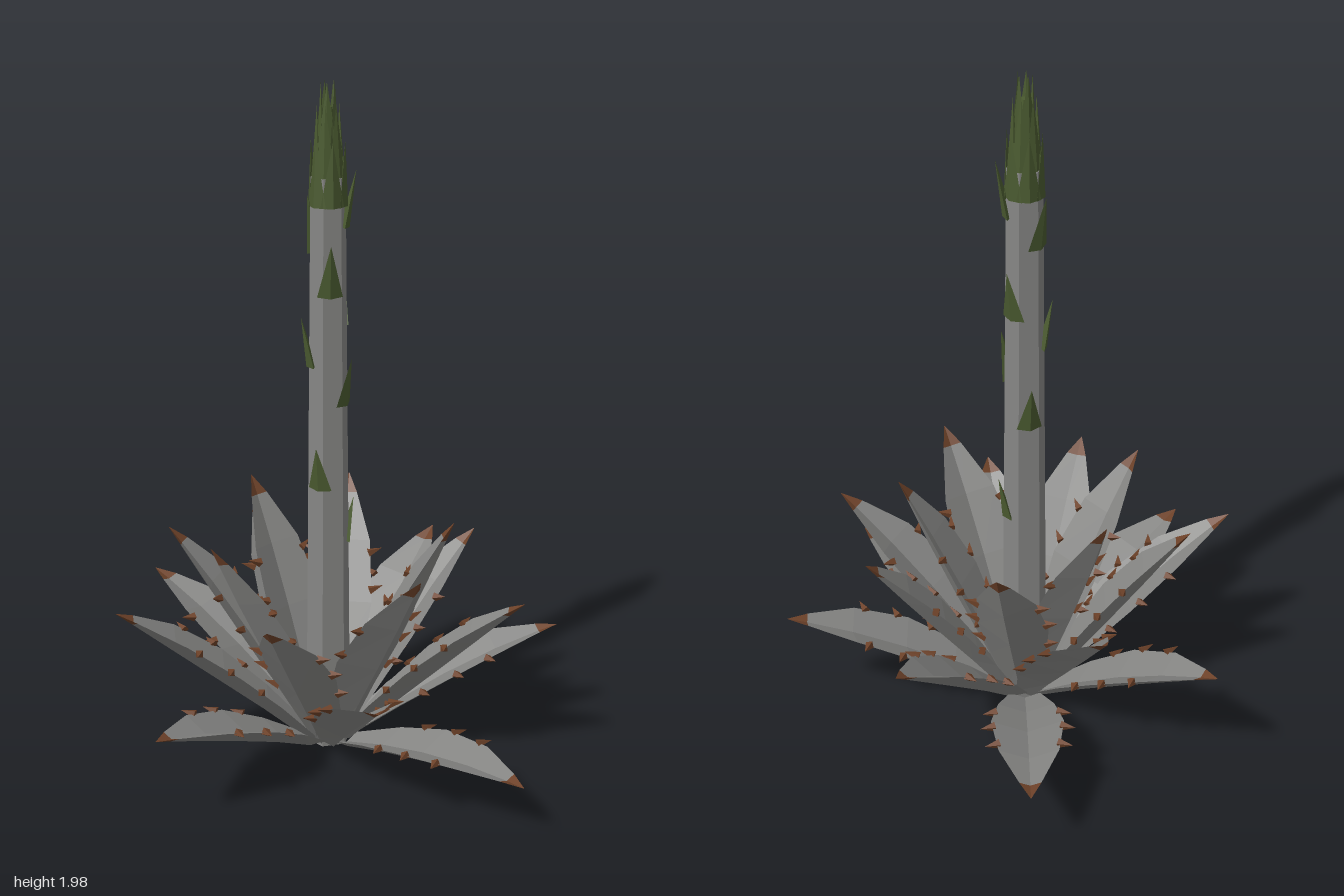
import * as THREE from 'three';
import { mergeGeometries } from 'three/addons/utils/BufferGeometryUtils.js';

const material = (name, color) => {
  const m = new THREE.MeshStandardMaterial({ color, flatShading: true });
  m.name = name;
  return m;
};

const CX = 0.048, CZ = -0.062;           // axis of the plant
const GOLDEN = THREE.MathUtils.degToRad(137.5);

// Tip of every leaf: x, y, z
const TIPS = [
  [0.005, 0.18, 0.73], [0.55, 0.24, -0.61], [-0.67, 0.30, -0.01],
  [0.61, 0.34, 0.35], [-0.04, 0.39, -0.74], [-0.31, 0.43, 0.48],
  [0.67, 0.48, -0.21], [-0.52, 0.52, -0.35], [0.28, 0.56, 0.49],
  [0.26, 0.59, -0.60], [-0.42, 0.60, 0.17], [0.51, 0.61, 0.10],
  [-0.21, 0.66, -0.47], [-0.05, 0.70, 0.39], [0.39, 0.71, -0.31],
  [-0.34, 0.73, -0.14], [0.28, 0.73, 0.22], [0.06, 0.77, -0.40],
];

// Leaf outline: position along the leaf, half width
const OUTLINE = [[0, 0.045], [0.22, 0.082], [0.45, 0.104], [0.7, 0.084], [0.91, 0.03], [1, 0.001]];

// Closed strip through four-cornered sections
function loft(sections, capped) {
  const v = [];
  const tri = (a, b, c) => v.push(...a.toArray(), ...b.toArray(), ...c.toArray());
  for (let r = 0; r < sections.length - 1; r++) {
    for (let i = 0; i < 4; i++) {
      const j = (i + 1) % 4, p = sections[r], q = sections[r + 1];
      tri(p[i], p[j], q[j]);
      tri(p[i], q[j], q[i]);
    }
  }
  if (capped) {
    const p = sections[0];
    tri(p[0], p[3], p[1]);
    tri(p[1], p[3], p[2]);
  }
  const g = new THREE.BufferGeometry();
  g.setAttribute('position', new THREE.Float32BufferAttribute(v, 3));
  g.computeVertexNormals();
  return g;
}

function makeLeaf(tip, mats) {
  const leaf = new THREE.Group();
  leaf.name = 'leaf';
  const end = new THREE.Vector3(...tip);
  const out = new THREE.Vector3(tip[0] - CX, 0, tip[2] - CZ).normalize();
  const start = new THREE.Vector3(CX, 0.035, CZ).addScaledVector(out, 0.095 - 0.07 * tip[1]);
  const bend = start.clone().lerp(end, 0.5).add(new THREE.Vector3(0, 0.06, 0));
  const path = new THREE.QuadraticBezierCurve3(start, bend, end);
  const side = new THREE.Vector3(0, 1, 0).cross(out);

  const frame = (t) => {
    const along = path.getTangent(t);
    return { at: path.getPoint(t), along, up: along.clone().cross(side) };
  };
  const edgePoint = (t, w, s) => {
    const f = frame(t);
    return f.at.addScaledVector(side, s * w).addScaledVector(f.up, w * 0.32);
  };
  // Channelled upper face with a keel underneath
  const sections = OUTLINE.map(([t, w]) => {
    const f = frame(t);
    return [edgePoint(t, w, 1), f.at, edgePoint(t, w, -1),
      f.at.clone().addScaledVector(f.up, -0.24 * w - 0.004 * (1 - t))];
  });
  const blade = new THREE.Mesh(loft(sections.slice(0, 5), true), mats.leaf);
  blade.name = 'leafBlade';
  const point = new THREE.Mesh(loft(sections.slice(4), false), mats.thorn);
  point.name = 'leafTip';

  // Thorns along both edges
  const thorns = [];
  for (const s of [-1, 1]) {
    for (const [t, w] of [[0.34, 0.094], [0.5, 0.1], [0.65, 0.088]]) {
      const dir = side.clone().multiplyScalar(s).addScaledVector(frame(t).along, 0.45).normalize();
      const g = new THREE.ConeGeometry(0.014, 0.044, 4).translate(0, 0.016, 0);
      g.applyQuaternion(new THREE.Quaternion().setFromUnitVectors(new THREE.Vector3(0, 1, 0), dir));
      const p = edgePoint(t, w, s);
      thorns.push(g.translate(p.x, p.y, p.z));
    }
  }
  const edge = new THREE.Mesh(mergeGeometries(thorns), mats.thorn);
  edge.name = 'edgeThorns';
  leaf.add(blade, point, edge);
  return leaf;
}

// Pointed scale pressed against the stalk
function scaleGeometry(angle, y, radius, height, width, tilt) {
  return new THREE.ConeGeometry(width, height, 4)
    .translate(0, height / 2, 0)
    .scale(1, 1, 0.4)
    .rotateX(tilt)
    .translate(0, y, radius)
    .rotateY(Math.PI / 2 - angle);
}

export function createModel() {
  const mats = {
    leaf: material('leaf grey', 0x868684),
    thorn: material('thorn brown', 0x6e4229),
    bract: material('bract green', 0x4a5a30),
  };
  const model = new THREE.Group();
  model.name = 'agave';

  // Rosette
  const rosette = new THREE.Group();
  rosette.name = 'rosette';
  TIPS.forEach((tip) => rosette.add(makeLeaf(tip, mats)));
  model.add(rosette);

  // Flower stalk
  const flower = new THREE.Group();
  flower.name = 'flowerStalk';
  flower.position.set(CX, 0, CZ);
  const stalk = new THREE.Mesh(new THREE.CylinderGeometry(0.05, 0.068, 1.72, 6).translate(0, 0.88, 0), mats.leaf);
  stalk.name = 'stalk';
  const core = new THREE.Mesh(new THREE.CylinderGeometry(0.012, 0.046, 0.22, 6).translate(0, 1.82, 0), mats.bract);
  core.name = 'budCore';

  // Scales spiralling up the stalk
  const scales = [0.66, 0.84, 0.97, 1.09, 1.2, 1.31, 1.41, 1.52, 1.6].map((y, i) =>
    scaleGeometry(0.42 + i * GOLDEN, y, 0.058 - 0.008 * y, 0.13 + i * 0.004, 0.036, 0.2));
  const bracts = new THREE.Mesh(mergeGeometries(scales), mats.bract);
  bracts.name = 'stalkBracts';

  // Overlapping scales of the bud
  const budScales = [];
  [[6, 1.66, 0.043, 0.18, 0.03], [6, 1.74, 0.035, 0.2, -0.02], [5, 1.82, 0.02, 0.18, 0]]
    .forEach(([n, y, radius, height, tilt], row) => {
      for (let i = 0; i < n; i++) {
        budScales.push(scaleGeometry((i + row / 2) * 2 * Math.PI / n, y, radius, height, 0.034 - row * 0.004, tilt));
      }
    });
  const bud = new THREE.Mesh(mergeGeometries(budScales), mats.bract);
  bud.name = 'budScales';
  flower.add(stalk, core, bracts, bud);
  model.add(flower);
  return model;
}
